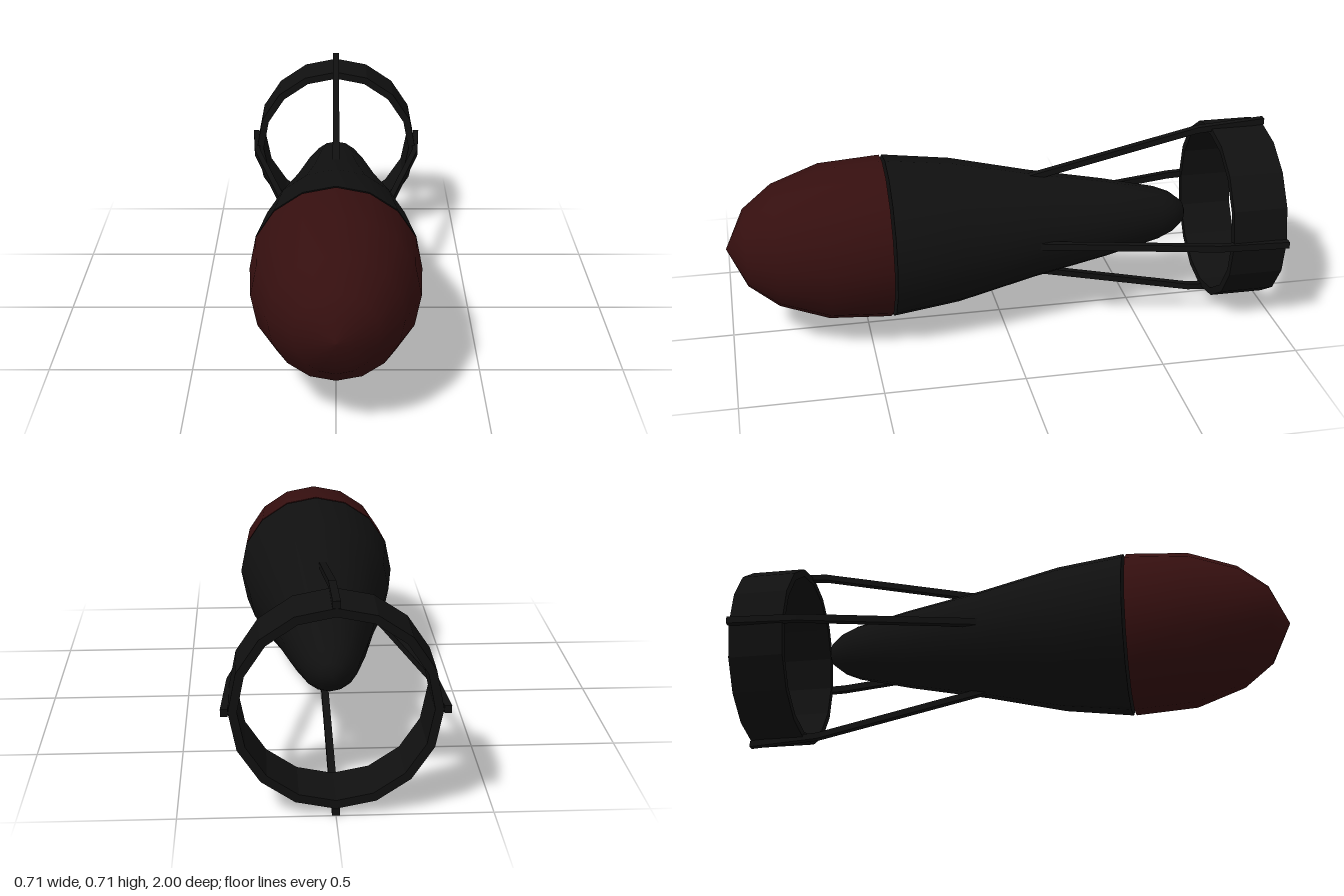
import * as THREE from 'three';
import { toCreasedNormals } from 'three/addons/utils/BufferGeometryUtils.js';

const SIDES = 16;
const AXIS_Y = 0.357;

// Revolves [radius, z] points (back to front on the outside) about the z axis.
function revolve(points, crease) {
  const profile = points.map(([r, z]) => new THREE.Vector2(r, z));
  const geometry = new THREE.LatheGeometry(profile, SIDES).rotateX(Math.PI / 2);
  return toCreasedNormals(geometry, crease);
}

// Square bent strut: a side outline in (radius, z), extruded across its width.
function strutGeometry(path, thickness, width) {
  const h = thickness / 2;
  const outline = [
    ...path.map(([r, z]) => new THREE.Vector2(z, r + h)),
    ...path.slice().reverse().map(([r, z]) => new THREE.Vector2(z, r - h)),
  ];
  const geometry = new THREE.ExtrudeGeometry(new THREE.Shape(outline), { depth: width, bevelEnabled: false });
  geometry.translate(0, 0, -width / 2);
  return geometry.rotateY(-Math.PI / 2); // outline x becomes z
}

export function createModel() {
  const model = new THREE.Group();
  const black = new THREE.MeshStandardMaterial({ color: 0x101010 });
  black.name = 'matte black';
  const red = new THREE.MeshStandardMaterial({ color: 0x350f0f });
  red.name = 'dark red';

  const add = (name, geometry, material) => {
    const mesh = new THREE.Mesh(geometry, material);
    mesh.name = name;
    mesh.position.y = AXIS_Y;
    model.add(mesh);
    return mesh;
  };

  // Tapered body, closed at the front
  add('body', revolve([
    [0, -0.715], [0.04, -0.7], [0.077, -0.655], [0.1, -0.6], [0.146, -0.4],
    [0.2, -0.12], [0.266, 0.17], [0.297, 0.416], [0, 0.416],
  ], 0.8), black);

  // Blunt nose, set off from the body by a narrow gap
  add('nose', revolve([
    [0, 0.426], [0.297, 0.426], [0.283, 0.65], [0.222, 0.825], [0.14, 0.932], [0, 1],
  ], 0.8), red);

  // Open tail ring
  add('tailRing', revolve([
    [0.305, -0.998], [0.333, -0.998], [0.333, -0.798], [0.305, -0.798], [0.305, -0.998],
  ], 0.2), black);

  // Four struts carrying the ring
  const strut = strutGeometry([[0.17, -0.03], [0.328, -0.745], [0.345, -1]], 0.023, 0.025);
  ['top', 'right', 'bottom', 'left'].forEach((side, i) => {
    add(side + 'Strut', strut, black).rotation.z = i * Math.PI / 2 + (i % 2 ? Math.PI : 0);
  });

  return model;
}
